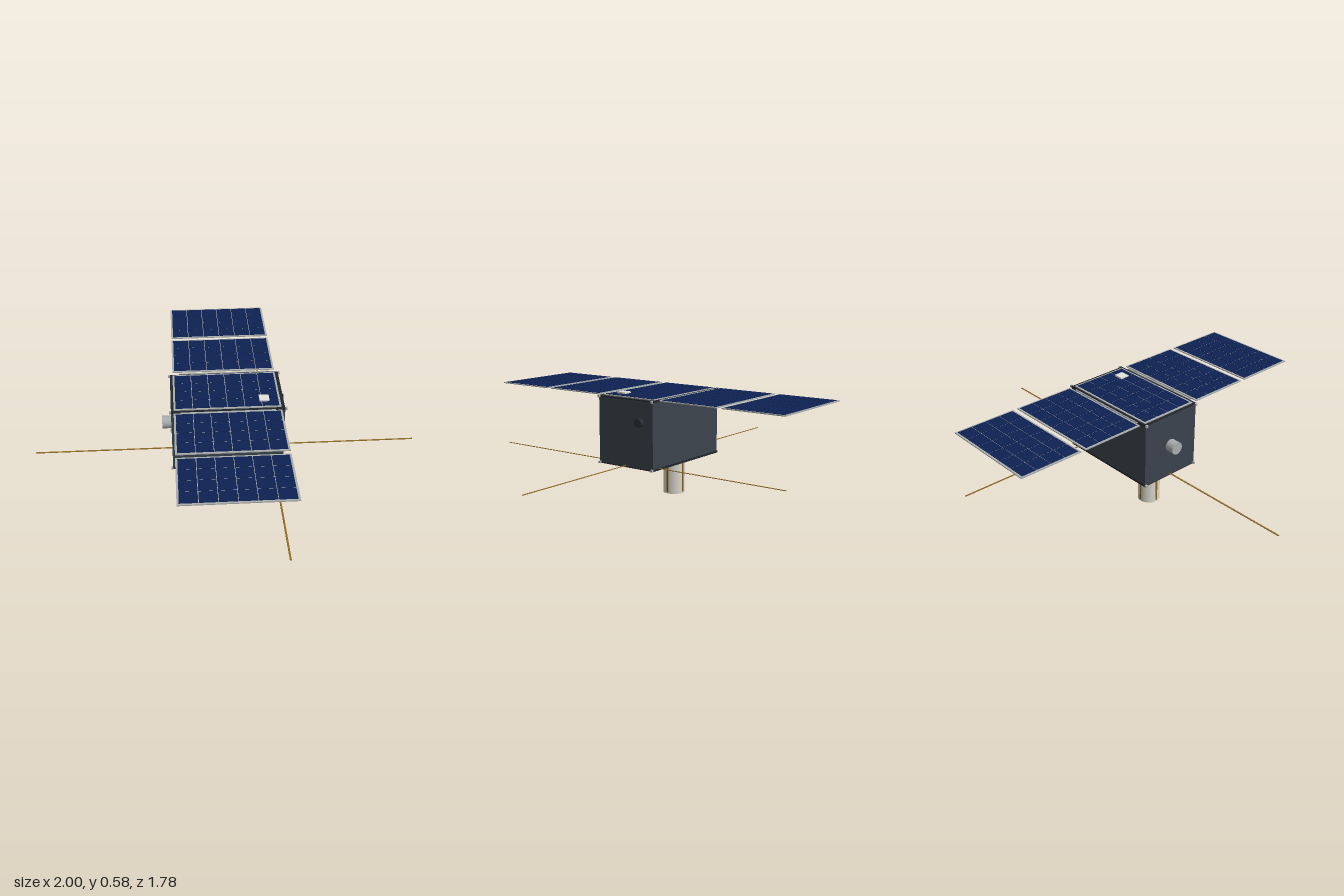
import * as THREE from 'three';
import { mergeGeometries } from 'three/addons/utils/BufferGeometryUtils.js';

const colours = {
  wall: 0x3b434d, dark: 0x22262b, silver: 0xa9adad, solar: 0x0e2152,
  cream: 0xd9d6cc, gold: 0x8f6a26, red: 0xc0401a, lens: 0x2a2f36, white: 0xe4e4dc,
};

export function createModel() {
  const model = new THREE.Group();
  model.name = 'satellite';
  const mat = {};
  for (const [name, color] of Object.entries(colours)) {
    mat[name] = new THREE.MeshStandardMaterial({ color });
    mat[name].name = name;
  }

  function add(name, geometry, material, x, y, z, parent = model) {
    const mesh = new THREE.Mesh(geometry, mat[material]);
    mesh.name = name;
    mesh.position.set(x, y, z);
    parent.add(mesh);
    return mesh;
  }
  const box = (name, w, h, d, material, x, y, z, parent) =>
    add(name, new THREE.BoxGeometry(w, h, d), material, x, y, z, parent);

  // Regular grid of thin tiles merged into one geometry
  function tiles(w, d, nx, nz, gap, h) {
    const parts = [];
    for (let i = 0; i < nx; i++) {
      for (let j = 0; j < nz; j++) {
        const tile = new THREE.BoxGeometry(w / nx - gap, h, d / nz - gap);
        tile.translate(((i + 0.5) / nx - 0.5) * w, 0, ((j + 0.5) / nz - 0.5) * d);
        parts.push(tile);
      }
    }
    return mergeGeometries(parts);
  }

  // Body with darker end plates
  box('body', 0.566, 0.342, 0.342, 'wall', 0, 0.387, 0);
  box('topPlate', 0.566, 0.004, 0.342, 'dark', 0, 0.56, 0);
  box('bottomPlate', 0.566, 0.004, 0.342, 'dark', 0, 0.214, 0);

  // Long edge rails with bright end feet
  for (const y of [0.217, 0.559]) {
    for (const z of [-0.168, 0.168]) {
      box('rail', 0.57, 0.011, 0.011, 'dark', 0, y, z);
      for (const x of [-0.288, 0.288]) {
        box('railFoot', 0.01, 0.012, 0.012, 'silver', x, y, z);
      }
    }
  }

  // Solar panels: one on the roof and two wings each way
  function solarPanel(name, z, depth) {
    const panel = new THREE.Group();
    panel.name = name;
    panel.position.set(-0.002, 0.565, z);
    model.add(panel);
    box('panelBoard', 0.535, 0.005, depth, 'silver', 0, 0, 0, panel);
    add('solarCells', tiles(0.518, depth - 0.018, 6, 4, 0.003, 0.002), 'solar', 0, 0.003, 0, panel);
  }
  solarPanel('roofPanel', -0.002, 0.325);
  for (const side of [-1, 1]) {
    solarPanel('innerWing', side * 0.36 - 0.003, 0.335);
    solarPanel('outerWing', side * 0.72 - 0.003, 0.335);
    const hinge = add('wingHinge', new THREE.CylinderGeometry(0.004, 0.004, 0.47, 8),
      'silver', 0, 0.562, side * 0.182);
    hinge.rotation.z = Math.PI / 2;
  }
  box('navigationPatch', 0.05, 0.01, 0.05, 'white', 0.185, 0.572, 0.088);

  // Thin tape antennas, leaving the body on all four sides
  for (const side of [-1, 1]) {
    box('sideTape', 0.72, 0.002, 0.009, 'gold', side * 0.64, 0.221, 0);
    box('crossTape', 0.009, 0.002, 0.72, 'gold', 0.235, 0.221, side * 0.53);
  }

  // Hanging drum antenna with four metal strips
  box('drumBase', 0.23, 0.008, 0.23, 'silver', -0.128, 0.209, 0);
  add('drum', new THREE.CylinderGeometry(0.058, 0.058, 0.206, 32), 'cream', -0.128, 0.103, 0);
  for (let i = 0; i < 4; i++) {
    const a = i * Math.PI / 2;
    const strip = box('drumStrip', 0.01, 0.196, 0.004, 'gold',
      -0.128 + Math.sin(a) * 0.058, 0.107, Math.cos(a) * 0.058);
    strip.rotation.y = a;
  }

  // Underside equipment
  box('patchBoard', 0.145, 0.004, 0.145, 'dark', 0.165, 0.211, 0.005);
  add('patchArray', tiles(0.14, 0.14, 6, 6, 0.006, 0.004), 'gold', 0.165, 0.208, 0.005);
  box('redPatch', 0.09, 0.006, 0.085, 'red', 0.03, 0.21, 0.112);

  // Thruster and sensor on the two ends
  const thruster = add('thruster', new THREE.CylinderGeometry(0.033, 0.033, 0.05, 28),
    'silver', -0.306, 0.388, 0);
  const sensor = add('sensor', new THREE.CylinderGeometry(0.022, 0.022, 0.03, 24),
    'lens', 0.292, 0.45, -0.095);
  thruster.rotation.z = sensor.rotation.z = Math.PI / 2;

  return model;
}
